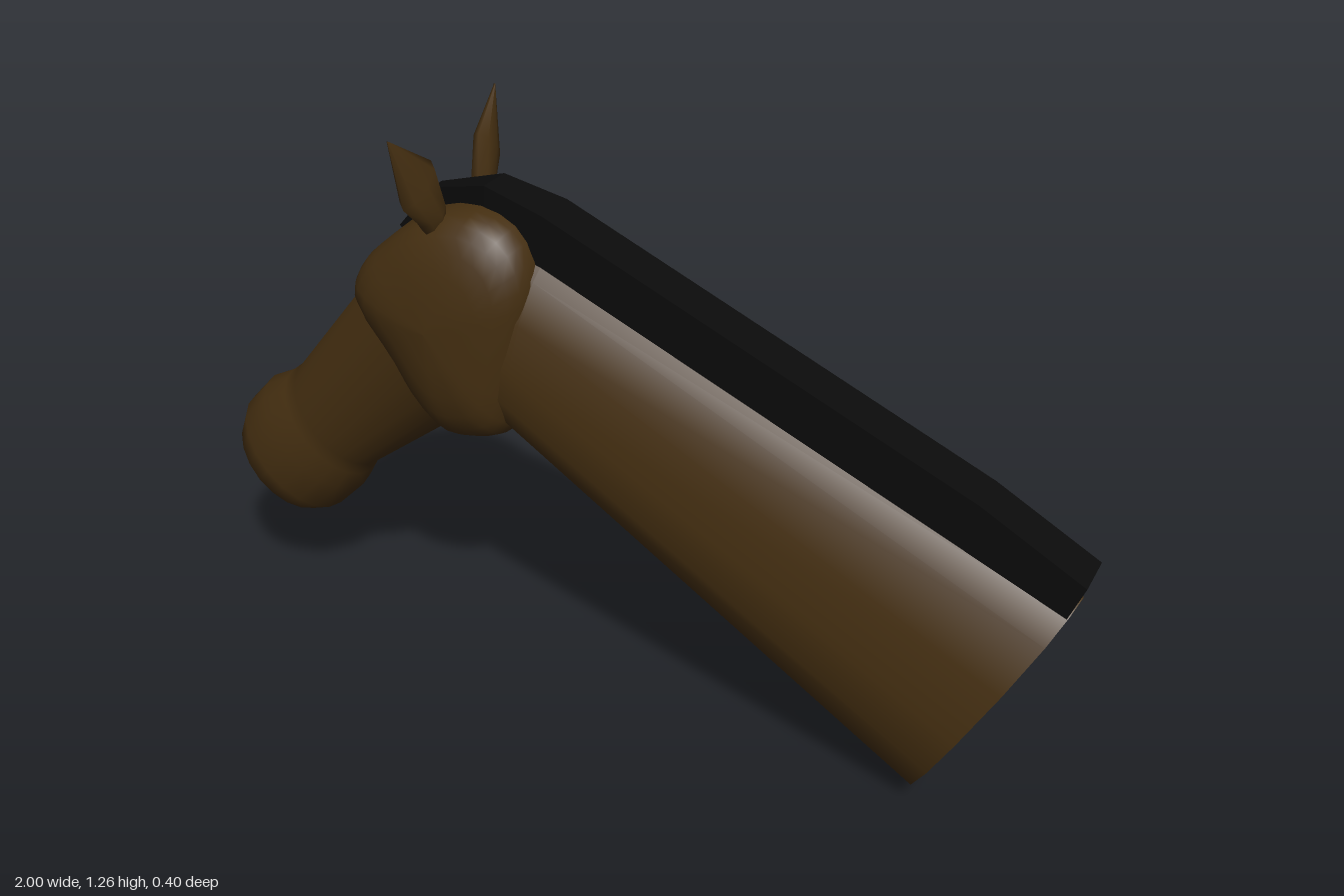
import * as THREE from 'three';

const V = (x, y, z = 0) => new THREE.Vector3(x, y, z);
const brown = new THREE.MeshStandardMaterial({ color: 0x452f11 });
const brownOpen = new THREE.MeshStandardMaterial({ color: 0x452f11, side: THREE.DoubleSide });
const black = new THREE.MeshStandardMaterial({ color: 0x0b0b0b, flatShading: true });

// Skins a row of closed rings, each an array of points; caps close the ends.
function loft(rings, capStart = false, capEnd = false) {
  const collapse = (ring) => {
    const c = ring.reduce((s, p) => s.add(p), V(0, 0)).divideScalar(ring.length);
    return ring.map(() => c);
  };
  const all = [...rings];
  if (capStart) all.unshift(collapse(rings[0]));
  if (capEnd) all.push(collapse(rings[rings.length - 1]));
  const n = rings[0].length, pos = [], idx = [];
  all.forEach((ring) => ring.forEach((p) => pos.push(p.x, p.y, p.z)));
  for (let k = 0; k < all.length - 1; k++) {
    for (let i = 0; i < n; i++) {
      const j = (i + 1) % n, a = k * n, b = a + n;
      idx.push(a + i, a + j, b + i, a + j, b + j, b + i);
    }
  }
  const g = new THREE.BufferGeometry();
  g.setAttribute('position', new THREE.Float32BufferAttribute(pos, 3));
  g.setIndex(idx);
  g.computeVertexNormals();
  return g;
}

// Ring spanning a to b, bulging along side; half profile of [along, out] is mirrored.
function section(a, b, side, half) {
  const back = half.slice(1, -1).reverse().map(([u, v]) => [u, -v]);
  return [...half, ...back].map(([u, v]) => a.clone().lerp(b, u).addScaledVector(side, v));
}

function ellipse(steps) {
  return Array.from({ length: steps + 1 }, (_, i) => {
    const t = (i / steps) * Math.PI;
    return [(1 - Math.cos(t)) / 2, Math.sin(t)];
  });
}

function part(name, geometry, material) {
  const m = new THREE.Mesh(geometry, material);
  m.name = name;
  return m;
}

// Open tube, egg-shaped in section with the narrow side up
function neck() {
  const egg = [[0, 0], [0.03, 0.42], [0.105, 0.76], [0.24, 0.97], [0.42, 1],
    [0.67, 0.88], [0.87, 0.6], [0.96, 0.3], [1, 0]];
  return part('neck', loft([
    section(V(0.69, 0), V(0.985, 0.52), V(0, 0, 0.165), egg),
    section(V(-0.24, 0.59), V(-0.16, 1.02), V(0, 0, 0.126), egg),
    section(V(-0.36, 0.666), V(-0.26, 1.05), V(0, 0, 0.12), egg),
  ]), brownOpen);
}

// Rounded skull and cheeks: the side outline shrinks towards both flat cheeks
function head() {
  const outline = [[-0.61, 0.86], [-0.585, 0.93], [-0.53, 0.985], [-0.43, 1.06], [-0.3, 1.09],
    [-0.21, 1.055], [-0.17, 0.97], [-0.175, 0.87], [-0.2, 0.73], [-0.24, 0.6],
    [-0.31, 0.57], [-0.38, 0.565], [-0.44, 0.61], [-0.53, 0.74]];
  const points = new THREE.CatmullRomCurve3(outline.map(([x, y]) => V(x, y)), true)
    .getPoints(32).slice(0, -1);
  const rings = [];
  for (let i = 0; i <= 20; i++) {
    const t = 1 - i / 10, a = (t * t * Math.PI) / 2, s = Math.cos(a);
    const z = 0.17 * Math.sign(t) * Math.sqrt(Math.sin(a));
    rings.push(points.map((p) => V(-0.38 + (p.x + 0.38) * s, 0.84 + (p.y - 0.84) * s, z)));
  }
  return part('head', loft(rings), brown);
}

// Tapering snout that swells into a rounded nose
function muzzle() {
  const rows = [ // bottom x, y, top x, y, half width
    [-0.33, 0.62, -0.5, 0.95, 0.14],
    [-0.4, 0.57, -0.61, 0.87, 0.128],
    [-0.645, 0.385, -0.83, 0.595, 0.108],
    [-0.665, 0.355, -0.86, 0.57, 0.11],
    [-0.69, 0.31, -0.92, 0.54, 0.12],
    [-0.76, 0.24, -0.98, 0.475, 0.121],
    [-0.81, 0.222, -1.0, 0.42, 0.11],
    [-0.88, 0.235, -0.99, 0.37, 0.07],
  ];
  const half = ellipse(10);
  return part('muzzle', loft(rows.map(([bx, by, tx, ty, w]) =>
    section(V(bx, by), V(tx, ty), V(0, 0, w), half)), false, true), brown);
}

// Upright strip along the crest, narrowing to the forelock
function mane() {
  const rows = [ // bottom x, y, top x, y, half width
    [0.965, 0.485, 1.0, 0.575, 0.052],
    [0.74, 0.56, 0.78, 0.695, 0.052],
    [-0.2, 0.97, -0.16, 1.1, 0.052],
    [-0.3, 1.03, -0.3, 1.135, 0.04],
    [-0.4, 1.0, -0.44, 1.1, 0.02],
    [-0.47, 0.95, -0.525, 1.0, 0.02],
  ];
  const box = [[0, 0], [0, 1], [1, 1], [1, 0]];
  return part('mane', loft(rows.map(([bx, by, tx, ty, w]) =>
    section(V(bx, by), V(tx, ty), V(0, 0, w), box)), true, true), black);
}

// Pointed leaf-shaped ear leaning outwards
function ear() {
  const half = ellipse(4);
  return loft([
    section(V(-0.385, 1.02, 0.11), V(-0.385, 1.05, 0.07), V(0.018, 0), half),
    section(V(-0.395, 1.06, 0.13), V(-0.385, 1.1, 0.072), V(0.028, 0), half),
    section(V(-0.405, 1.11, 0.175), V(-0.39, 1.19, 0.09), V(0.026, 0), half),
    section(V(-0.415, 1.26, 0.2), V(-0.414, 1.26, 0.198), V(0.002, 0), half),
  ], true, true);
}

export function createModel() {
  const model = new THREE.Group();
  model.name = 'horseHead';
  model.add(neck(), head(), muzzle(), mane());
  const leaf = ear();
  const frontEar = part('frontEar', leaf, brown);
  const backEar = part('backEar', leaf, brown);
  backEar.scale.z = -1;
  model.add(frontEar, backEar);
  return model;
}
